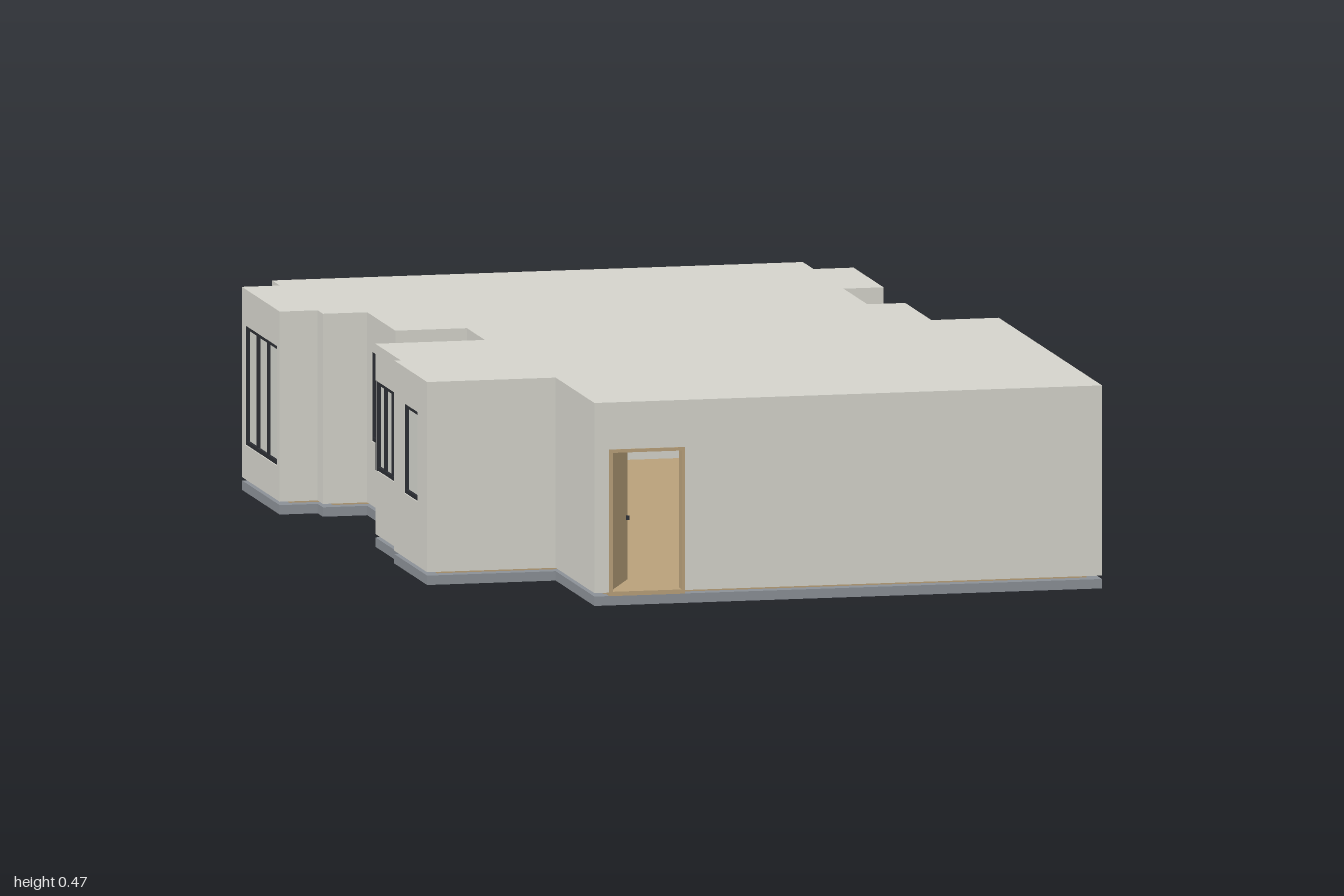
import * as THREE from 'three';

const mat = (name, color) => new THREE.MeshStandardMaterial({ name, color });

export function createModel() {
  const house = new THREE.Group();
  house.name = 'house';
  const plaster = mat('plaster', 0xd4d3cb);
  const glass = mat('pane', 0xd0d1ca);
  const frameDark = mat('darkFrame', 0x2c2e34);
  const wood = mat('wood', 0xb8a07a);
  const stone = mat('plinthGrey', 0x8b9096);

  // Footprint corners [x, z], clockwise seen from above
  const plan = [
    [-0.71, -1], [0.55, -1], [0.55, -0.89], [0.645, -0.89], [0.645, -0.58], [0.55, -0.58],
    [0.55, -0.335], [0.64, -0.335], [0.64, -0.065], [0.8, -0.065], [0.8, 1], [-0.405, 1],
    [-0.405, 0.6], [-0.71, 0.6], [-0.71, 0.26], [-0.695, 0.26], [-0.695, 0], [-0.435, 0],
    [-0.435, -0.185], [-0.605, -0.185], [-0.605, -0.475], [-0.71, -0.475], [-0.71, -0.53],
    [-0.8, -0.53], [-0.8, -0.92], [-0.71, -0.92],
  ];
  const N = plan.length;
  const T = 0.03, WALL_Y = 0.03, ROOF_Y = 0.46, TOP = 0.475;

  const edge = (i) => {
    const a = plan[(i + N) % N], b = plan[(i + 1 + N) % N];
    const len = Math.hypot(b[0] - a[0], b[1] - a[1]);
    return { a, len, dx: (b[0] - a[0]) / len, dz: (b[1] - a[1]) / len };
  };

  // Horizontal slab following the footprint, optionally drawn in by an inset
  function slab(name, y0, y1, material, inset = 0) {
    const pts = plan.map(([x, z], i) => {
      const p = edge(i - 1), q = edge(i);
      return new THREE.Vector2(x - inset * (p.dz + q.dz), -(z + inset * (p.dx + q.dx)));
    });
    const geo = new THREE.ExtrudeGeometry(new THREE.Shape(pts), { depth: y1 - y0, bevelEnabled: false });
    geo.rotateX(-Math.PI / 2).translate(0, y0, 0);
    const mesh = new THREE.Mesh(geo, material);
    mesh.name = name;
    house.add(mesh);
  }

  // Box given by its min and max along each axis
  function block(parent, name, material, x0, x1, y0, y1, z0, z1) {
    if (x1 - x0 < 1e-4 || y1 - y0 < 1e-4) return;
    const mesh = new THREE.Mesh(new THREE.BoxGeometry(x1 - x0, y1 - y0, z1 - z0), material);
    mesh.position.set((x0 + x1) / 2, (y0 + y1) / 2, (z0 + z1) / 2);
    mesh.name = name;
    parent.add(mesh);
  }

  slab('plinth', 0, 0.022, stone);
  slab('floor', 0.022, 0.031, wood, 0.03);
  slab('roof', ROOF_Y, TOP, plaster);

  // Openings by wall index: start and end along the wall, sill, head, pane count
  const openings = {
    3: [0.015, 0.3, 0.11, 0.39, 3],
    7: [0.02, 0.27, 0.11, 0.39, 2],
    8: [0, 0.16, 0.105, 0.39, 1],
    9: [0, 0.965, 0.105, 0.39, 9],
    10: [0.99, 1.17, WALL_Y, 0.365, 0],
    13: [0.1, 0.24, 0.18, 0.39, 1],
    15: [0.02, 0.26, 0.18, 0.39, 3],
    16: [0, 0.26, 0.18, 0.39, 2],
    19: [0.04, 0.25, 0.18, 0.39, 2],
    23: [0.03, 0.36, 0.11, 0.39, 3],
  };

  // Window: pane, rails and evenly spaced mullions
  function addWindow(wall, [s, e, y0, y1, panes]) {
    const w = 0.009, zf = 0.003, zb = 0.02;
    block(wall, 'windowPane', glass, s, e, y0, y1, 0.01, 0.015);
    block(wall, 'windowRail', frameDark, s, e, y0, y0 + w, zf, zb);
    block(wall, 'windowRail', frameDark, s, e, y1 - w, y1, zf, zb);
    for (let k = 0; k <= panes; k++) {
      const x = s + (e - s - w) * k / panes;
      block(wall, 'windowMullion', frameDark, x, x + w, y0 + w, y1 - w, zf, zb);
    }
  }

  // Door: wooden frame with a leaf standing open into the house
  function addDoor(wall, [s, e, y0, y1]) {
    const w = 0.008;
    block(wall, 'doorJamb', wood, s, s + w, y0, y1, -0.002, T);
    block(wall, 'doorJamb', wood, e - w, e, y0, y1, -0.002, T);
    block(wall, 'doorHead', wood, s + w, e - w, y1 - w, y1, -0.002, T);
    block(wall, 'doorSill', wood, s, e, 0.022, 0.032, -0.002, T);
    const leaf = new THREE.Group();
    leaf.name = 'doorLeaf';
    block(leaf, 'doorPanel', wood, 0, 0.165, 0.034, y1 - w, -0.005, 0.005);
    block(leaf, 'doorHandle', frameDark, 0.145, 0.155, 0.175, 0.185, -0.012, 0.012);
    leaf.position.set(-0.362, 0, 0.98);
    leaf.rotation.y = THREE.MathUtils.degToRad(65);
    house.add(leaf);
  }

  // Walls: local x runs along the wall, local z points indoors
  for (let i = 0; i < N; i++) {
    const { a, len, dx, dz } = edge(i);
    const wall = new THREE.Group();
    wall.name = 'wall';
    wall.position.set(a[0], 0, a[1]);
    wall.rotation.y = Math.atan2(-dz, dx);
    house.add(wall);
    const o = openings[i];
    if (!o) {
      block(wall, 'wallPanel', plaster, 0, len, WALL_Y, ROOF_Y, 0, T);
      continue;
    }
    const [s, e, y0, y1, panes] = o;
    block(wall, 'wallBelow', plaster, 0, len, WALL_Y, y0, 0, T);
    block(wall, 'wallAbove', plaster, 0, len, y1, ROOF_Y, 0, T);
    block(wall, 'wallSide', plaster, 0, s, y0, y1, 0, T);
    block(wall, 'wallSide', plaster, e, len, y0, y1, 0, T);
    if (panes) addWindow(wall, o);
    else addDoor(wall, o);
  }
  return house;
}
